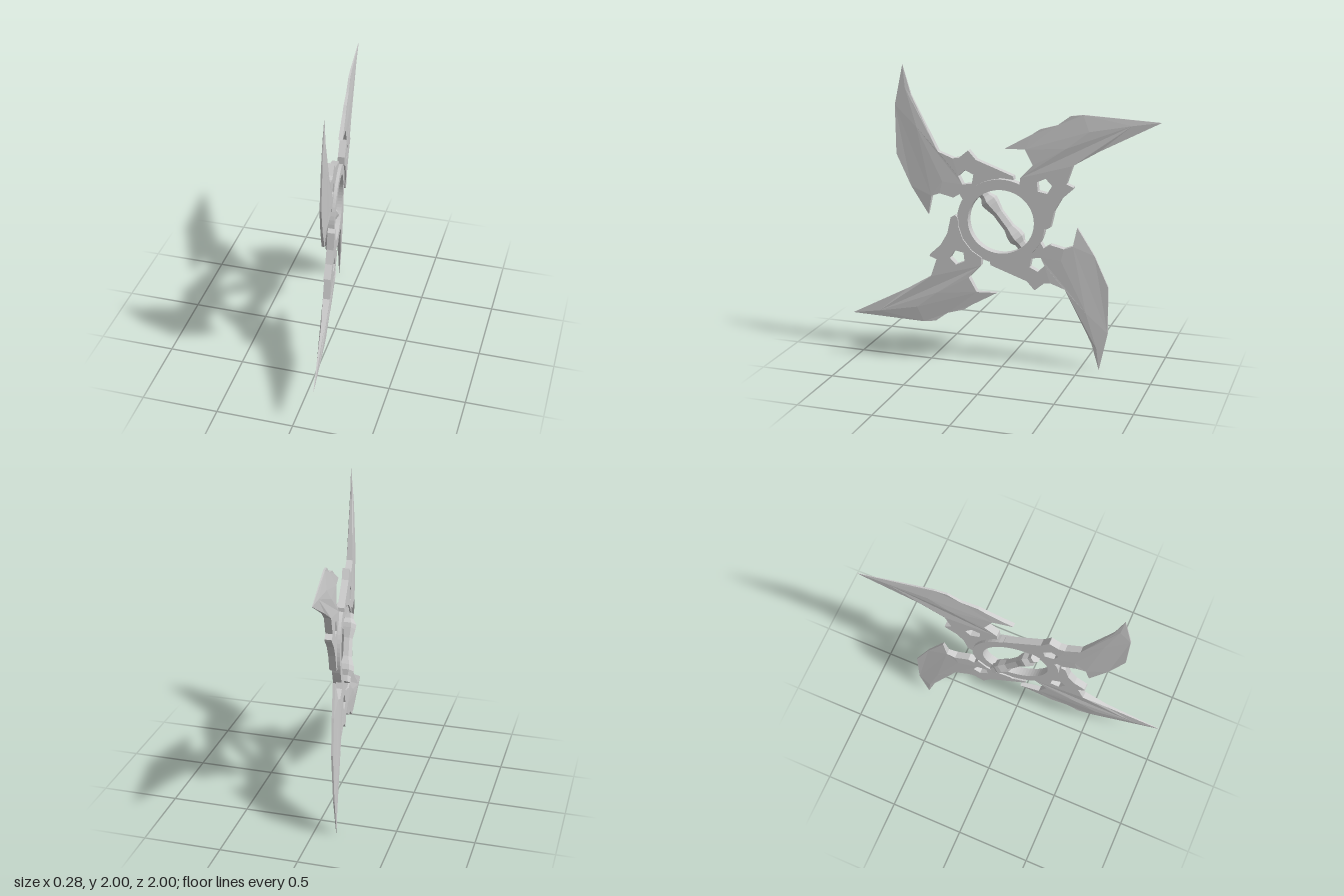
import * as THREE from 'three';

const HALF = 0.023; // half thickness of the blades
const SHEAR_U = -0.147, SHEAR_V = 0.033; // lean of the whole disc

const material = new THREE.MeshStandardMaterial({ color: 0xcccccc, flatShading: true });

// Lean the flat part, then turn it so its face looks along +x
function place(geometry, name) {
  const p = geometry.attributes.position;
  for (let i = 0; i < p.count; i++) {
    p.setZ(i, p.getZ(i) + SHEAR_U * p.getX(i) + SHEAR_V * p.getY(i));
  }
  geometry.rotateY(Math.PI / 2).translate(0, 1, 0);
  geometry.computeVertexNormals();
  const mesh = new THREE.Mesh(geometry, material);
  mesh.name = name;
  return mesh;
}

// Plate from [u, v, relative thickness] points, with an optional pentagonal hole
function plate(points, hole) {
  const shape = new THREE.Shape(points.map(([u, v]) => new THREE.Vector2(u, v)));
  if (hole) {
    const ring = [];
    for (let i = 0; i < 5; i++) {
      const a = hole[2] - i * Math.PI * 0.4;
      ring.push(new THREE.Vector2(hole[0] + 0.052 * Math.cos(a), hole[1] + 0.052 * Math.sin(a)));
    }
    shape.holes.push(new THREE.Path(ring));
  }
  const g = new THREE.ExtrudeGeometry(shape, { depth: 2 * HALF, bevelEnabled: false });
  g.translate(0, 0, -HALF);
  const p = g.attributes.position;
  for (let i = 0; i < p.count; i++) {
    const hit = points.find(([u, v]) => Math.hypot(u - p.getX(i), v - p.getY(i)) < 1e-4);
    if (hit) p.setZ(i, p.getZ(i) * (hit[2] ?? 1));
  }
  return g;
}

// Each blade: outer cutting edge, ridge, body that meets the ring, and offset across the disc
const blades = [
  {
    tip: [-0.625, 1, 0.06],
    edge: [[-0.68, 0.74, 0.2], [-0.68, 0.42, 0.25], [-0.59, 0.21, 0.3], [-0.48, 0.025, 0.4], [-0.455, 0.15, 0.8]],
    ridge: [[-0.4, 0.17], [-0.38, 0.25], [-0.54, 0.6, 0.75], [-0.61, 0.85, 0.4]],
    body: [[-0.31, 0.145], [-0.27, 0.17], [-0.245, 0.125], [-0.19, 0.2], [-0.12, 0.247], [-0.03, 0.272],
      [-0.01, 0.288], [0.08, 0.278], [0.075, 0.302], [-0.16, 0.4], [-0.21, 0.46], [-0.27, 0.41], [-0.31, 0.405],
      [-0.405, 0.445, 0.9], [-0.475, 0.595, 0.6], [-0.575, 0.81, 0.3]],
    hole: [-0.225, 0.28, 1.7],
    offset: -0.015,
  },
  {
    tip: [1, 0.68, 0.06],
    edge: [[0.52, 0.715, 0.25], [0.44, 0.705, 0.3], [0.36, 0.645, 0.35], [0.25, 0.615, 0.45], [0.2, 0.58, 0.5],
      [0.03, 0.485, 0.6], [0.16, 0.485, 0.8]],
    ridge: [[0.21, 0.385], [0.42, 0.5], [0.56, 0.61, 0.8], [0.82, 0.655, 0.4]],
    body: [[0.13, 0.3], [0.125, 0.245], [0.19, 0.2], [0.245, 0.125], [0.272, 0.04], [0.275, -0.02],
      [0.29, -0.035], [0.32, -0.02], [0.345, 0.09], [0.39, 0.17], [0.46, 0.235], [0.465, 0.25], [0.42, 0.27],
      [0.46, 0.39], [0.62, 0.485, 0.45]],
    hole: [0.28, 0.25, 0.1],
    offset: 0.015,
  },
];

export function createModel() {
  const model = new THREE.Group();
  model.name = 'throwingStar';

  // Four blades: two forms, each repeated by a half turn
  blades.forEach(({ tip, edge, ridge, body, hole, offset }) => {
    for (const turn of [0, Math.PI]) {
      const outer = plate([tip, ...edge, ...ridge]);
      const inner = plate([tip, ...[...ridge].reverse(), ...body], hole);
      const blade = new THREE.Group();
      blade.name = 'blade';
      blade.add(
        place(outer.rotateZ(turn).translate(0, 0, offset), 'bladeOuterEdge'),
        place(inner.rotateZ(turn).translate(0, 0, offset), 'bladeBody'),
      );
      model.add(blade);
    }
  });

  // Central ring
  const ring = new THREE.Shape().absarc(0, 0, 0.282, 0, Math.PI * 2);
  ring.holes.push(new THREE.Path().absarc(0, 0, 0.213, 0, Math.PI * 2, true));
  const ringGeometry = new THREE.ExtrudeGeometry(ring, { depth: 0.056, bevelEnabled: false, curveSegments: 32 });
  model.add(place(ringGeometry.translate(0, 0, -0.028), 'ring'));

  // Waisted grip bar across the back of the ring
  const profile = [[0, -0.225], [0.036, -0.225], [0.036, -0.185], [0.054, -0.15], [0.052, -0.115], [0.036, -0.06],
    [0.036, 0.06], [0.052, 0.125], [0.056, 0.155], [0.036, 0.19], [0.036, 0.225], [0, 0.225]];
  const grip = new THREE.LatheGeometry(profile.map(([r, y]) => new THREE.Vector2(r, y)), 6);
  model.add(place(grip.rotateZ(0.63).translate(0, 0, -0.034), 'grip'));

  return model;
}
